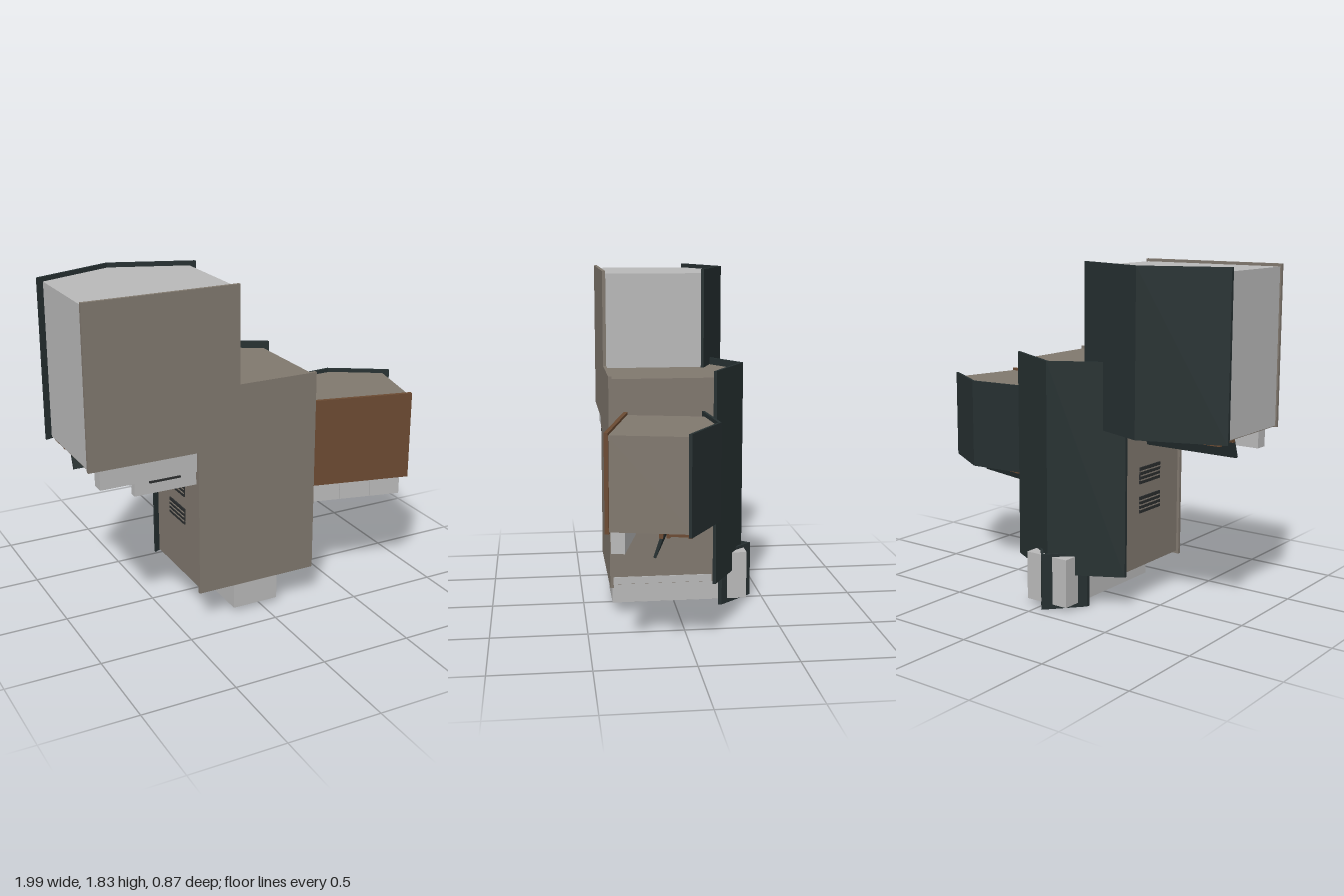
import * as THREE from 'three';

const mat = (name, color) => {
  const m = new THREE.MeshStandardMaterial({ color });
  m.name = name;
  return m;
};

export function createModel() {
  const taupe = mat('taupe siding', 0x80786e);
  const grey = mat('pale grey', 0xb9b9b9);
  const slate = mat('dark slate roof', 0x263031);
  const brown = mat('brown timber', 0x6b4a32);
  const glass = mat('dark glass', 0x2b2d2e);
  const model = new THREE.Group();
  model.name = 'house';

  const add = (parent, name, geo, m) => {
    const mesh = new THREE.Mesh(geo, m);
    mesh.name = name;
    parent.add(mesh);
    return mesh;
  };
  // Box from its limits on each axis
  const box = (p, name, m, x0, x1, y0, y1, z0, z1) => {
    const g = new THREE.BoxGeometry(x1 - x0, y1 - y0, z1 - z0);
    g.translate((x0 + x1) / 2, (y0 + y1) / 2, (z0 + z1) / 2);
    return add(p, name, g, m);
  };
  // Outline in (x, height towards -z), extruded along y
  const prism = (p, name, m, pts, y0, y1) => {
    const shape = new THREE.Shape(pts.map(([x, h]) => new THREE.Vector2(x, h)));
    const g = new THREE.ExtrudeGeometry(shape, { depth: y1 - y0, bevelEnabled: false });
    g.rotateX(-Math.PI / 2);
    g.translate(0, y0, 0);
    return add(p, name, g, m);
  };
  // Gabled walls
  const walls = (p, name, m, cx, half, base, eave, ridge, y0, y1) =>
    prism(p, name, m, [[cx - half, base], [cx + half, base], [cx + half, eave],
      [cx, ridge], [cx - half, eave]], y0, y1);
  // Two sloping roof slabs, as one chevron
  const roof = (p, name, cx, half, eave, ridge, t, y0, y1) =>
    prism(p, name, slate, [[cx - half, eave - t], [cx, ridge - t], [cx + half, eave - t],
      [cx + half, eave], [cx, ridge], [cx - half, eave]], y0, y1);
  // Sloping porch canopy on a wall facing -y
  const canopy = (p, x0, x1, yOut, yWall, hOut, hWall) => {
    const g = new THREE.BoxGeometry(x1 - x0, Math.hypot(yWall - yOut, hWall - hOut), 0.014);
    g.rotateX(-Math.atan2(hWall - hOut, yWall - yOut));
    g.translate((x0 + x1) / 2, (yOut + yWall) / 2, -(hOut + hWall) / 2);
    add(p, 'porchCanopy', g, slate);
  };
  // Timber rails with upright slats on a wall facing -y
  const slats = (p, x0, x1, y, h0, h1, n) => {
    box(p, 'slatBacking', glass, x0, x1, y - 0.004, y, -h1, -h0);
    for (const h of [h0, h1]) box(p, 'rail', brown, x0, x1, y - 0.022, y, -h - 0.009, -h + 0.009);
    for (let i = 0; i <= n; i++) {
      const x = x0 + ((x1 - x0) * i) / n;
      box(p, 'slat', brown, x - 0.005, x + 0.005, y - 0.014, y, -h1, -h0);
    }
  };
  // Barred window on a wall facing -y
  const windowDown = (p, x0, x1, y, z0, z1) => {
    box(p, 'windowFrame', taupe, x0 - 0.01, x1 + 0.01, y - 0.006, y, z0 - 0.01, z1 + 0.01);
    box(p, 'windowPane', glass, x0, x1, y - 0.009, y - 0.002, z0, z1);
    for (let i = 1; i < 4; i++) {
      const x = x0 + ((x1 - x0) * i) / 4;
      box(p, 'windowBar', taupe, x - 0.003, x + 0.003, y - 0.012, y, z0, z1);
    }
  };

  // Central wing
  const main = new THREE.Group();
  main.name = 'centralWing';
  model.add(main);
  walls(main, 'centralWalls', taupe, -0.04, 0.33, -0.355, 0.185, 0.372, 0.195, 1.29);
  box(main, 'centralPlinth', taupe, -0.385, 0.3, 0.18, 1.305, 0.352, 0.37);
  roof(main, 'centralRoof', -0.04, 0.36, 0.19, 0.39, 0.017, 0.187, 1.327);
  for (const [a, b] of [[-0.34, -0.21], [0.13, 0.26]]) windowDown(main, a, b, 0.195, 0.05, 0.215);
  box(main, 'cornerBoard', grey, 0.288, 0.294, 0.197, 0.235, -0.17, 0.352);
  // Barred windows on the side facing -x
  for (const y of [0.54, 0.7]) {
    box(main, 'sideWindow', glass, -0.377, -0.369, y - 0.045, y + 0.045, -0.02, 0.17);
    for (const k of [-1, 0, 1]) {
      box(main, 'sideWindowBar', taupe, -0.38, -0.37, y + k * 0.024 - 0.003, y + k * 0.024 + 0.003, -0.02, 0.17);
    }
  }

  // Entrance bay with a steep roof pierced by its walls
  const entrance = new THREE.Group();
  entrance.name = 'entranceBay';
  model.add(entrance);
  box(entrance, 'entranceWalls', grey, -0.17, 0.092, 0.028, 0.29, -0.397, 0.345);
  roof(entrance, 'entranceRoof', -0.04, 0.162, 0.255, 0.441, 0.02, 0.003, 0.307);

  // Tall wing on the -x side
  const tall = new THREE.Group();
  tall.name = 'tallWing';
  model.add(tall);
  walls(tall, 'tallWalls', grey, -0.565, 0.402, -0.352, 0.18, 0.33, 0.985, 1.805);
  box(tall, 'tallPlinth', taupe, -0.975, -0.148, 0.977, 1.82, 0.352, 0.37);
  roof(tall, 'tallRoof', -0.565, 0.435, 0.185, 0.347, 0.016, 0.973, 1.828);
  box(tall, 'endCladding', taupe, -0.965, -0.375, 0.981, 0.987, -0.18, 0.352);
  prism(tall, 'gablePanel', taupe, [[-0.965, 0.18], [-0.165, 0.18], [-0.565, 0.329]], 0.981, 0.987);
  slats(tall, -0.95, -0.39, 0.981, 0.04, 0.165, 14);
  canopy(tall, -0.93, -0.39, 0.868, 0.98, -0.03, 0.01);
  windowDown(tall, -0.66, -0.47, 0.981, 0.06, 0.24);
  box(tall, 'porchBlock', grey, -0.91, -0.38, 0.868, 0.981, 0.28, 0.35);
  box(tall, 'porchStep', grey, -0.73, -0.39, 0.8, 0.868, 0.31, 0.35);
  box(tall, 'stepRail', glass, -0.65, -0.48, 0.858, 0.868, 0.35, 0.358);

  // Tilted wing on the +x side
  const tilted = new THREE.Group();
  tilted.name = 'tiltedWing';
  tilted.position.set(0.58, 0, 0.361);
  tilted.rotation.y = -0.232;
  model.add(tilted);
  walls(tilted, 'tiltedWalls', taupe, 0, 0.288, 0.015, 0.427, 0.51, 0.638, 1.105);
  box(tilted, 'timberBase', brown, -0.3, 0.3, 0.63, 1.118, -0.02, 0);
  roof(tilted, 'tiltedRoof', -0.008, 0.332, 0.417, 0.527, 0.015, 0.63, 1.125);
  slats(tilted, -0.28, 0.28, 0.638, 0.3, 0.405, 13);
  box(tilted, 'lowerRail', brown, -0.285, 0.285, 0.614, 0.638, -0.275, -0.257);
  canopy(tilted, -0.28, 0.28, 0.518, 0.625, 0.235, 0.27);
  for (let i = 0; i < 3; i++) {
    const x = -0.262 + i * 0.175;
    box(tilted, 'planterBlock', grey, x, x + 0.172, 0.525, 0.638, -0.09, -0.022);
  }
  return model;
}
